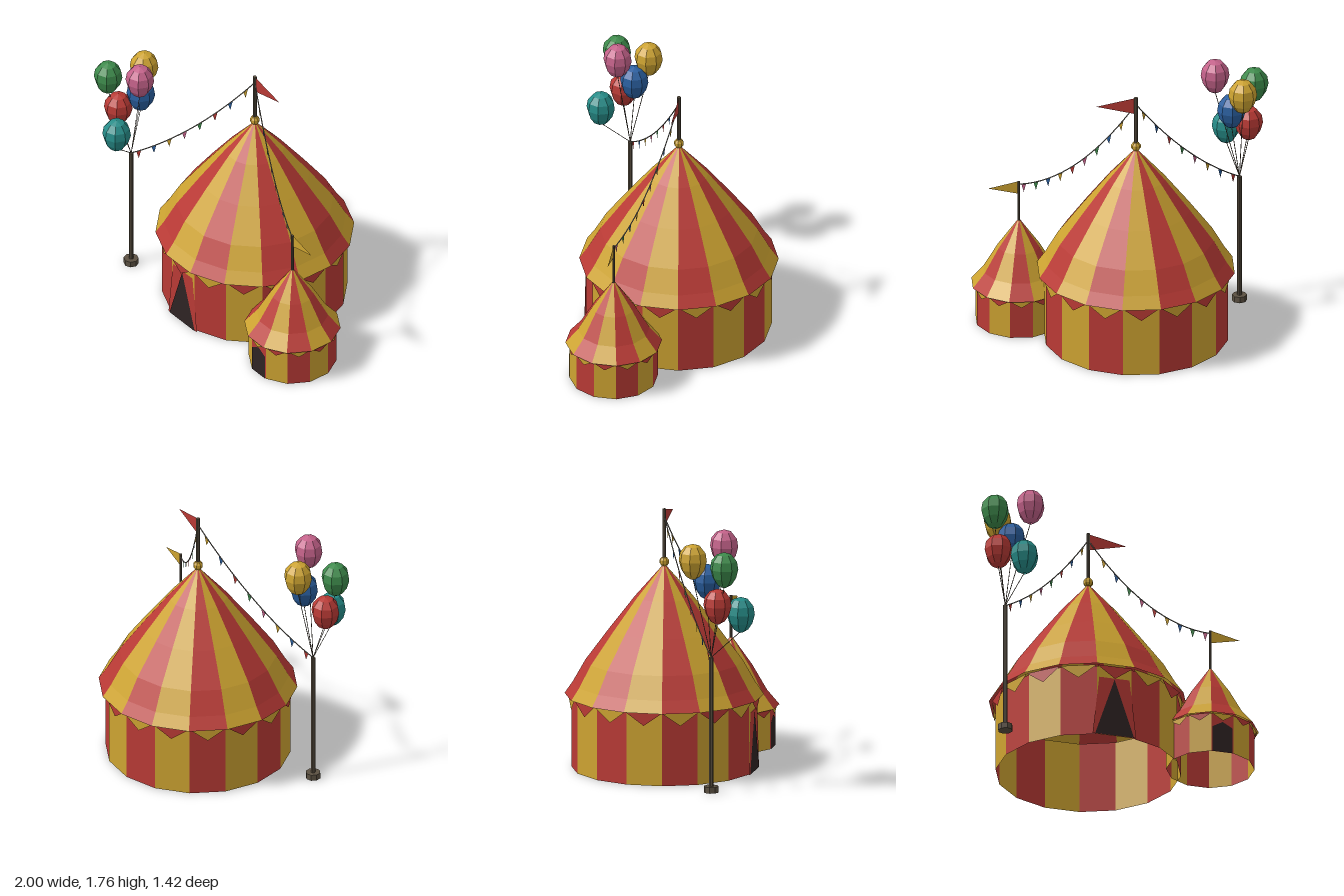
import * as THREE from 'three';
import { mergeGeometries } from 'three/addons/utils/BufferGeometryUtils.js';

const material = (name, color) =>
  new THREE.MeshStandardMaterial({ name, color, side: THREE.DoubleSide });

const V2 = (x, y) => new THREE.Vector2(x, y);
const V3 = (x, y, z) => new THREE.Vector3(x, y, z);

// Faceted copy of a geometry
function faceted(geo) {
  const flat = geo.index ? geo.toNonIndexed() : geo;
  flat.computeVertexNormals();
  return flat;
}

function polygon(points) {
  const geo = new THREE.BufferGeometry().setFromPoints(points);
  geo.computeVertexNormals();
  return geo;
}

export function createModel() {
  const red = material('red', 0xb93a35);
  const yellow = material('yellow', 0xcda331);
  const green = material('green', 0x3d8a4b);
  const blue = material('blue', 0x2a5f9f);
  const pink = material('pink', 0xc4628a);
  const teal = material('teal', 0x268c88);
  const dark = material('doorway dark', 0x2e2323);
  const wood = material('pole brown', 0x5c5142);
  const rope = material('rope grey', 0x7c7870);

  const model = new THREE.Group();
  model.name = 'circus';

  function add(parent, name, geo, mat, x = 0, y = 0, z = 0) {
    const mesh = new THREE.Mesh(geo, mat);
    mesh.name = name;
    mesh.position.set(x, y, z);
    parent.add(mesh);
    return mesh;
  }

  // Rings of alternating panels, panel 0 facing the front
  function striped(parent, name, sides, colors, makePanel) {
    colors.forEach((mat, parity) => {
      const panels = [];
      for (let i = parity; i < sides; i += 2) panels.push(makePanel(i, (2 * Math.PI) / sides));
      add(parent, `${name} ${mat.name}`, mergeGeometries(panels), mat);
    });
  }

  const lathePanel = profile => (i, step) =>
    faceted(new THREE.LatheGeometry(profile.map(p => V2(...p)), 1, (i - 0.5) * step, step));

  // Hanging triangle under each eave panel
  const pennantPanel = (radius, top, bottom) => (i, step) => {
    const at = (k, r, y) => V3(Math.sin(k * step) * r, y, Math.cos(k * step) * r);
    return faceted(polygon([
      at(i - 0.5, radius, top),
      at(i, radius * Math.cos(step / 2), bottom),
      at(i + 0.5, radius, top),
    ]));
  };

  function tent(name, x, z, sides, colors, wallRadius, roof, valanceDrop) {
    const group = new THREE.Group();
    group.name = name;
    group.position.set(x, 0, z);
    model.add(group);
    const [eaveRadius, eaveY] = roof[0];
    striped(group, 'wall', sides, colors, lathePanel([[wallRadius, 0], [wallRadius, eaveY]]));
    striped(group, 'roof', sides, colors, lathePanel(roof));
    striped(group, 'valance', sides, [colors[1], colors[0]],
      pennantPanel((eaveRadius + wallRadius) / 2, eaveY, eaveY - valanceDrop));
    return group;
  }

  function pole(parent, name, radius, bottom, top, x = 0, z = 0) {
    add(parent, name, faceted(new THREE.CylinderGeometry(radius, radius, top - bottom, 8)),
      wood, x, (top + bottom) / 2, z);
  }

  // Big top
  const big = tent('big tent', -0.08, -0.055, 16, [yellow, red], 0.62,
    [[0.665, 0.5], [0.61, 0.58], [0.525, 0.73], [0.366, 0.945], [0.195, 1.165], [0.015, 1.37]], 0.09);
  pole(big, 'mast', 0.013, 1.34, 1.76);
  add(big, 'finial', faceted(new THREE.SphereGeometry(0.034, 8, 5)), yellow, 0, 1.4, 0);
  add(big, 'flag', polygon([V3(0.01, 1.64, 0), V3(0.265, 1.7, 0), V3(0.01, 1.755, 0)]), red);
  const flaps = new THREE.Shape([V2(-0.152, 0), V2(0.152, 0), V2(0.105, 0.42), V2(-0.105, 0.42)]);
  add(big, 'door flaps', new THREE.ShapeGeometry(flaps), red, 0, 0, 0.613);
  add(big, 'doorway', polygon([V3(-0.135, 0, 0), V3(0.135, 0, 0), V3(0, 0.41, 0)]), dark, 0, 0, 0.618);

  // Small booth
  const small = tent('small tent', 0.685, 0.23, 12, [red, yellow], 0.295,
    [[0.323, 0.275], [0.24, 0.375], [0.143, 0.545], [0.01, 0.735]], 0.05);
  pole(small, 'mast', 0.009, 0.71, 1.02);
  add(small, 'flag', polygon([V3(0.007, 0.93, 0), V3(0.205, 0.973, 0), V3(0.007, 1.02, 0)]), yellow);
  const door = new THREE.Shape([V2(-0.07, 0), V2(0.07, 0), V2(0.07, 0.18), V2(0, 0.22), V2(-0.07, 0.18)]);
  add(small, 'doorway', new THREE.ShapeGeometry(door), dark, 0, 0, 0.289);

  // Balloon stand
  const knot = V3(-0.8, 0.92, 0.427);
  const stand = new THREE.Group();
  stand.name = 'balloon stand';
  model.add(stand);
  pole(stand, 'post', 0.016, 0, 0.92, knot.x, knot.z);
  pole(stand, 'base', 0.05, 0, 0.042, knot.x, knot.z);

  // Balloons with strings
  const balloonProfile = [[0.012, -0.122], [0.05, -0.1], [0.08, -0.055], [0.096, 0.005],
    [0.087, 0.06], [0.052, 0.103], [0, 0.12]].map(p => V2(...p));
  const balloonGeo = faceted(new THREE.LatheGeometry(balloonProfile, 8));
  [
    [green, -0.905, 1.545, 0.54],
    [yellow, -0.815, 1.572, 0.305],
    [pink, -0.64, 1.642, 0.48],
    [blue, -0.745, 1.425, 0.388],
    [red, -0.865, 1.285, 0.485],
    [teal, -0.722, 1.205, 0.612],
  ].forEach(([mat, x, y, z]) => {
    add(stand, `${mat.name} balloon`, balloonGeo, mat, x, y, z);
    const line = new THREE.LineCurve3(knot, V3(x, y - 0.115, z));
    add(stand, 'balloon string', new THREE.TubeGeometry(line, 1, 0.0025, 4), wood);
  });

  // Bunting ropes with small pennants
  function bunting(name, start, end, sag, count, offset, spacing, colors) {
    const group = new THREE.Group();
    group.name = name;
    model.add(group);
    const control = start.clone().lerp(end, 0.5);
    control.y -= 2 * sag;
    const curve = new THREE.QuadraticBezierCurve3(start, control, end);
    add(group, 'rope', new THREE.TubeGeometry(curve, 20, 0.004, 5), rope);
    for (let i = 0; i < count; i++) {
      const t = (i + offset) / spacing;
      const a = curve.getPoint(t - 0.02), b = curve.getPoint(t + 0.02);
      const tip = a.clone().lerp(b, 0.5);
      tip.y -= 0.06;
      add(group, 'pennant', polygon([a, tip, b]), colors[i % colors.length]);
    }
  }
  const top = V3(-0.08, 1.71, -0.055);
  bunting('left bunting', top, knot, 0.08, 8, 0.6, 8.1, [yellow, blue, red, green, pink]);
  bunting('right bunting', top, V3(0.685, 1.0, 0.23), 0.14, 9, 1.2, 9.6, [yellow, blue, green, pink, red]);

  return model;
}
